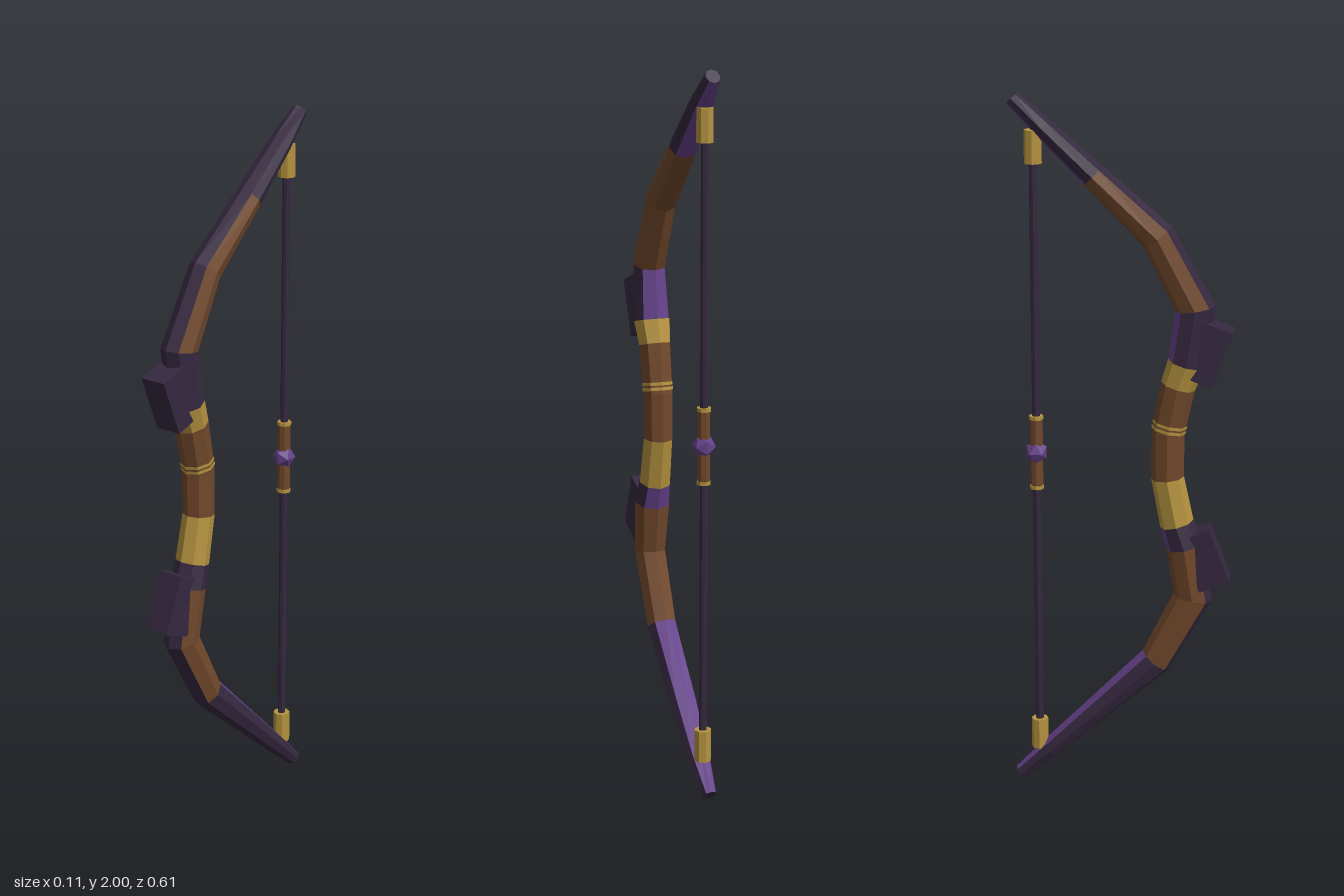
import * as THREE from 'three';

const mat = (name, color) => {
  const m = new THREE.MeshStandardMaterial({ color, flatShading: true });
  m.name = name;
  return m;
};

export function createModel() {
  const dark = mat('dark violet', 0x35283f);
  const purple = mat('purple', 0x65428a);
  const wood = mat('brown wood', 0x71482b);
  const gold = mat('gold', 0xb5933f);
  const bow = new THREE.Group();
  bow.name = 'bow';

  const add = (name, geometry, material, x = 0, y = 0, z = 0, parent = bow) => {
    const mesh = new THREE.Mesh(geometry, material);
    mesh.name = name;
    mesh.position.set(x, y, z);
    parent.add(mesh);
    return mesh;
  };

  // Upper half of the limb: height above centre, z, half width, half depth
  const half = [
    [0.065, 0.13, 0.043, 0.046],
    [0.2, 0.157, 0.046, 0.048],
    [0.265, 0.18, 0.053, 0.052],
    [0.42, 0.203, 0.046, 0.055],
    [0.616, 0.1, 0.043, 0.047],
    [0.78, -0.074, 0.04, 0.036],
    [0.905, -0.206, 0.034, 0.029],
    [0.984, -0.29, 0.02, 0.022],
  ];
  const stations = [
    ...half.map(([h, ...r]) => [1 - h, ...r]).reverse(),
    ...half.map(([h, ...r]) => [1 + h, ...r]),
  ];

  // Octagonal section, first corner at the front, square to the limb
  const ring = ([y, z, rx, rz], ty, tz, grow = 1) => {
    const l = Math.hypot(ty, tz);
    return Array.from({ length: 8 }, (_, k) => {
      const a = (k * Math.PI) / 4;
      const d = rz * grow * Math.cos(a);
      return new THREE.Vector3(rx * grow * Math.sin(a), y - (d * tz) / l, z + (d * ty) / l);
    });
  };
  const rings = stations.map((s, i) => {
    const p = stations[Math.max(i - 1, 0)];
    const n = stations[Math.min(i + 1, stations.length - 1)];
    const unit = (a, b) => new THREE.Vector2(b[0] - a[0], b[1] - a[1]).normalize();
    const t = unit(p, s).add(unit(s, n));
    return ring(s, t.x, t.y);
  });

  const faces = (points) => {
    const g = new THREE.BufferGeometry().setFromPoints(points);
    g.computeVertexNormals();
    return g;
  };
  const strip = (lo, hi, sides) => faces(sides.flatMap((k) => {
    const j = (k + 1) % 8;
    return [lo[k], lo[j], hi[j], lo[k], hi[j], hi[k]];
  }));

  // Limb sections from bottom to top, with front, side and back colours
  const styles = {
    tip: [dark, dark, purple],
    limb: [dark, wood, wood],
    collar: [dark, dark, purple],
    grip: [wood, wood, wood],
    goldWrap: [gold, gold, gold],
  };
  const order = ['tip', 'tip', 'tip', 'limb', 'limb', 'collar', 'goldWrap', 'grip',
    'grip', 'goldWrap', 'collar', 'limb', 'limb', 'tip', 'tip'];
  order.forEach((name, i) => {
    const section = new THREE.Group();
    section.name = name;
    bow.add(section);
    [['Front', [7, 0]], ['Sides', [1, 2, 5, 6]], ['Back', [3, 4]]].forEach(([part, sides], c) =>
      add(name + part, strip(rings[i], rings[i + 1], sides), styles[name][c], 0, 0, 0, section));
  });

  // End caps
  const cap = (r) => faces(r.slice(1, 7).flatMap((p, i) => [r[0], p, r[i + 2]]));
  add('topCap', cap(rings[15]), dark);
  add('bottomCap', cap([...rings[0]].reverse()), dark);

  // Two thin gold bands above the hand grip
  for (const y of [1.072, 1.086]) {
    const z = 0.13 + (y - 1.065) * 0.2;
    const r = [0, 0.009].map((h) => ring([y + h, z + h * 0.2, 0.044, 0.047], 1, 0.2, 1.03));
    add('gripBand', strip(r[0], r[1], [0, 1, 2, 3, 4, 5, 6, 7]), gold);
  }

  // Tilted guard blocks above and below the grip
  for (const s of [1, -1]) {
    const block = add('guardBlock', new THREE.BoxGeometry(0.08, 0.164, 0.09), dark,
      0, 1 + s * 0.299, 0.236);
    block.rotation.x = s * 0.365;
  }

  // Bowstring with ferrules, nocking grip and bead
  const sz = -0.235;
  const rod = (r, h) => new THREE.CylinderGeometry(r, r, h, 8);
  add('bowstring', rod(0.011, 1.76), dark, 0, 1, sz);
  add('stringGrip', rod(0.018, 0.2), wood, 0, 1, sz);
  for (const s of [1, -1]) {
    add('ferrule', rod(0.024, 0.09), gold, 0, 1 + s * 0.855, sz);
    add('stringGripRing', rod(0.02, 0.01), gold, 0, 1 + s * 0.101, sz);
  }
  add('bead', new THREE.IcosahedronGeometry(0.033, 0), purple, 0, 1, sz);

  return bow;
}
